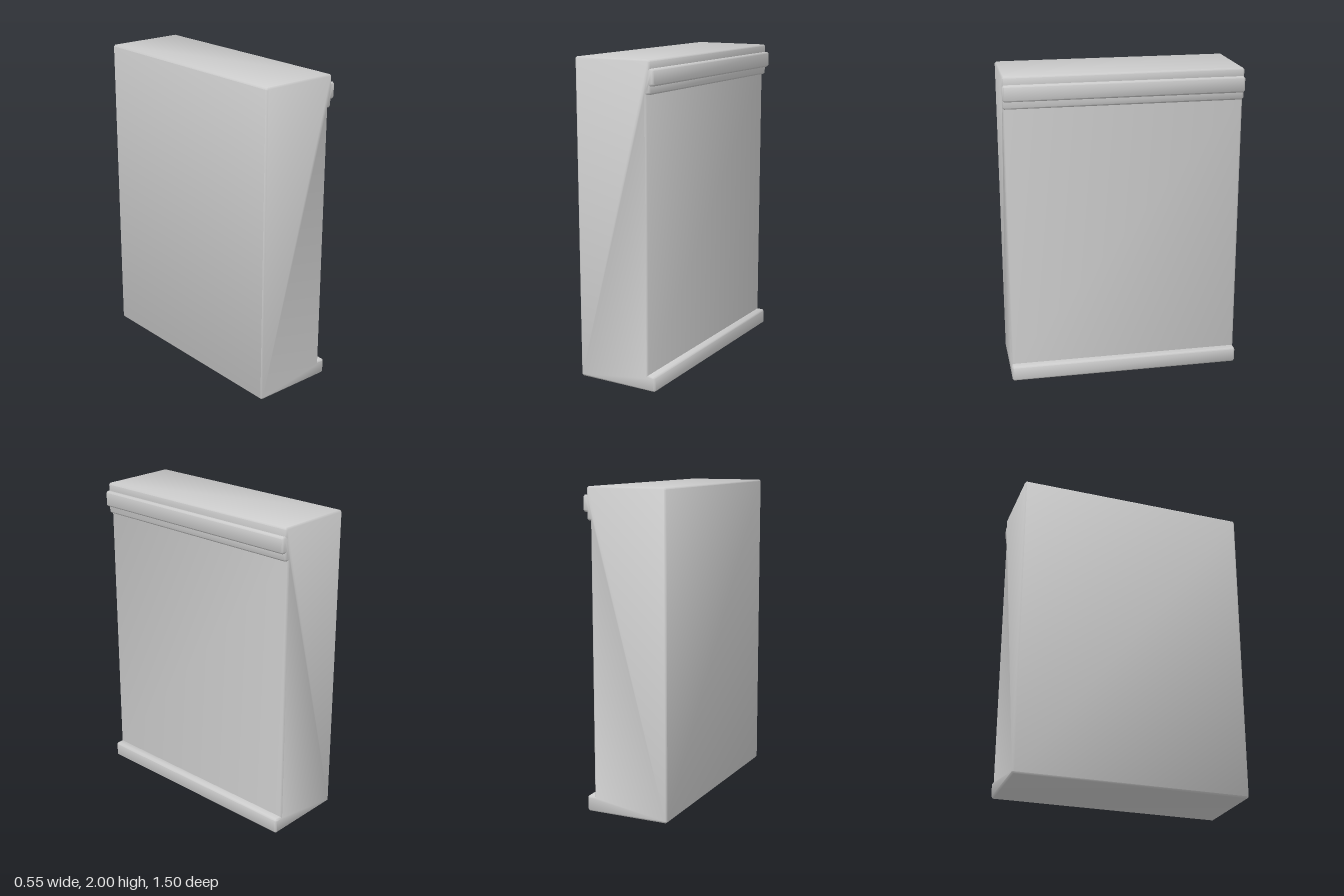
import * as THREE from 'three';
import { toCreasedNormals } from 'three/addons/utils/BufferGeometryUtils.js';

const DEPTH = 1.5;   // length along z
const EDGE = 0.01;   // width of the softened edges

// Closed outline whose convex corners (counter-clockwise order) are cut by a small chamfer
function softOutline(corners, cut) {
  const points = [];
  corners.forEach((corner, i) => {
    const p = new THREE.Vector2(...corner);
    const toPrev = new THREE.Vector2(...corners.at(i - 1)).sub(p).normalize();
    const toNext = new THREE.Vector2(...corners[(i + 1) % corners.length]).sub(p).normalize();
    if (toNext.cross(toPrev) > 0) {
      points.push(p.clone().addScaledVector(toPrev, cut), p.clone().addScaledVector(toNext, cut));
    } else {
      points.push(p);
    }
  });
  return new THREE.Shape(points);
}

export function createModel() {
  const group = new THREE.Group();
  group.name = 'wallSection';

  // Wall profile: skirting at the foot, recessed panel, stepped cornice at the top
  const profile = softOutline([
    [-0.273, 0], [0.273, 0], [0.273, 0.1],
    [0.223, 0.1], [0.223, 1.8],
    [0.247, 1.8], [0.247, 1.85],
    [0.273, 1.85], [0.273, 1.95],
    [0.247, 1.95], [0.247, 2], [-0.273, 2],
  ], EDGE);

  // The profile runs the whole length, with softened ends
  const geometry = new THREE.ExtrudeGeometry(profile, {
    depth: DEPTH - 2 * EDGE,
    steps: 1,
    bevelEnabled: true,
    bevelSegments: 1,
    bevelThickness: EDGE,
    bevelSize: EDGE,
    bevelOffset: -EDGE,
  });
  geometry.translate(0, 0, EDGE - DEPTH / 2);

  const wall = new THREE.Mesh(
    toCreasedNormals(geometry, THREE.MathUtils.degToRad(50)),
    new THREE.MeshStandardMaterial({ color: 0xcccccc }),
  );
  wall.name = 'wallWithSkirtingAndCornice';
  group.add(wall);

  return group;
}
